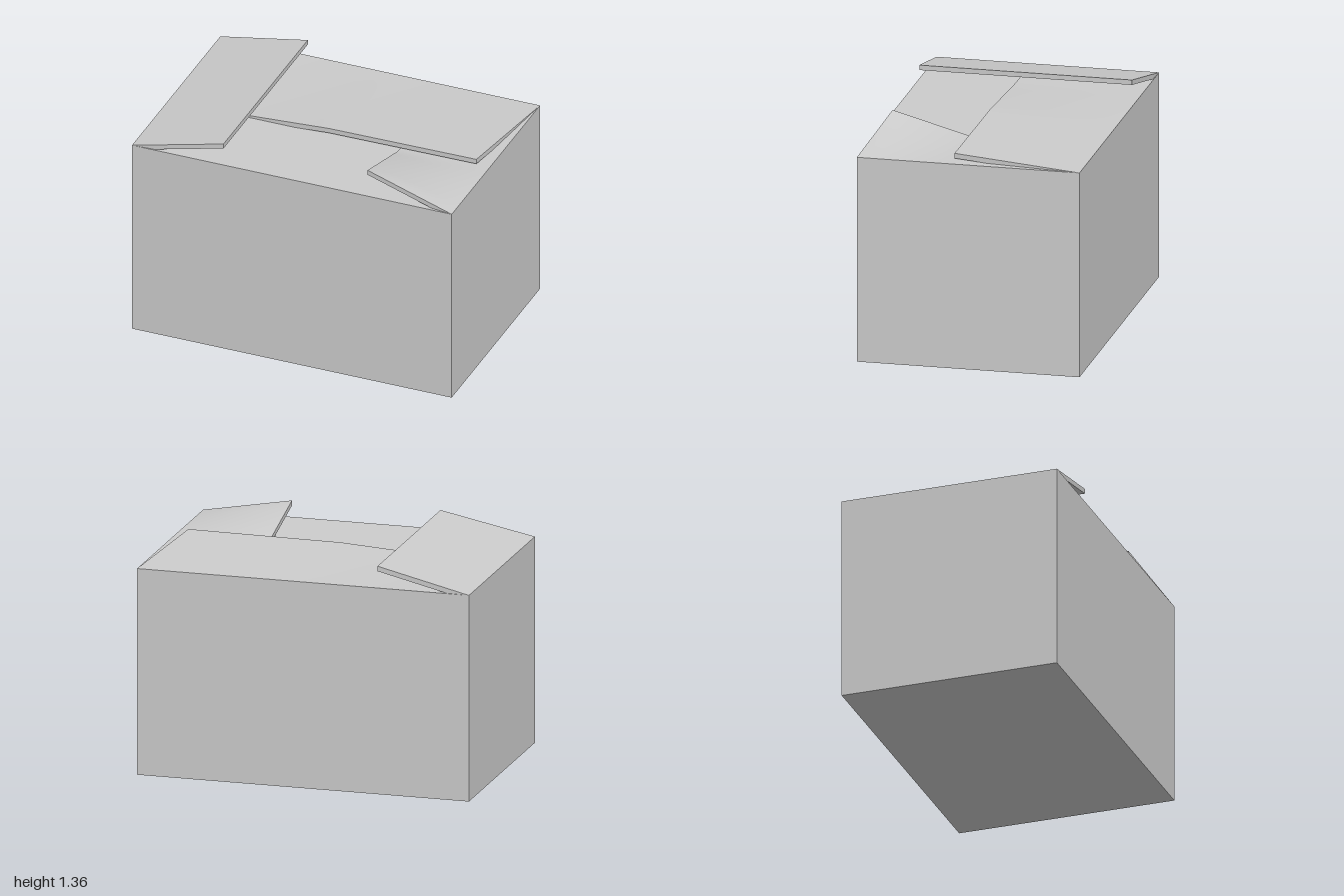
import * as THREE from 'three';

const W = 1, D = 0.66, TOP = 1.235, T = 0.03; // half width, half depth, rim height, board thickness
const clamp = THREE.MathUtils.clamp;
const material = new THREE.MeshStandardMaterial({ color: 0xcccccc });

function add(group, name, geometry) {
  const mesh = new THREE.Mesh(geometry, material);
  mesh.name = name;
  group.add(mesh);
  return mesh;
}

// Board of constant thickness: four plan corners [x, z] (back -x, back +x, front +x, front -x)
// and a rule giving the height of its top surface.
function board([a, b, c, d], height) {
  const geo = new THREE.BoxGeometry(1, 1, 1, 24, 1, 24);
  const p = geo.attributes.position;
  for (let i = 0; i < p.count; i++) {
    const u = p.getX(i) + 0.5, v = p.getZ(i) + 0.5;
    const mix = k => (a[k] * (1 - u) + b[k] * u) * (1 - v) + (d[k] * (1 - u) + c[k] * u) * v;
    const x = mix(0), z = mix(1);
    p.setXYZ(i, x, height(x, z) - (p.getY(i) < 0 ? T : 0), z);
  }
  geo.computeVertexNormals();
  return geo;
}

function rectangle(path, w, d) {
  path.moveTo(-w, -d).lineTo(w, -d).lineTo(w, d).lineTo(-w, d).closePath();
  return path;
}

export function createModel() {
  const group = new THREE.Group();
  group.name = 'cardboardBox';

  // Four walls around an empty inside
  const outline = rectangle(new THREE.Shape(), W, D);
  outline.holes.push(rectangle(new THREE.Path(), W - T, D - T));
  const walls = new THREE.ExtrudeGeometry(outline, { depth: TOP - T, bevelEnabled: false });
  add(group, 'walls', walls.rotateX(-Math.PI / 2));

  // Floor between the walls
  add(group, 'floor', new THREE.BoxGeometry(2 * (W - T), T, 2 * (D - T))).position.y = T / 2;

  // Front flap, folded shut and lying lowest
  add(group, 'frontFlap', board(
    [[-0.94, 0], [0.94, 0], [W, D], [-W, D]],
    (x, z) => TOP - 0.01 * (D - z) / D));

  // Back flap, lifted at its free edge except towards the -x end
  add(group, 'backFlap', board(
    [[-W, -D], [W, -D], [0.92, 0.1], [-0.92, 0.1]],
    (x, z) => {
      const lift = 0.034 * clamp((x + 0.58) / 0.58, 0, 1) + 0.006 * clamp(x / 0.9, 0, 1);
      return TOP + lift * (z + D) / (D + 0.1);
    }));

  // Flap on the -x side, standing open at a shallow angle
  add(group, 'rightFlap', board(
    [[-W, -D], [-0.44, -0.63], [-0.44, 0.63], [-W, D]],
    x => TOP + 0.122 * (x + W) / 0.56));

  // Flap on the +x side, pinned under the back flap and curling up at the front
  add(group, 'leftFlap', board(
    [[0.44, -0.6], [W, -D], [W, D], [0.44, 0.58]],
    (x, z) => {
      const out = (W - x) / 0.56;
      return TOP + out * (0.125 * clamp((z - 0.12) / 0.46, 0, 1) - 0.003);
    }));

  return group;
}
